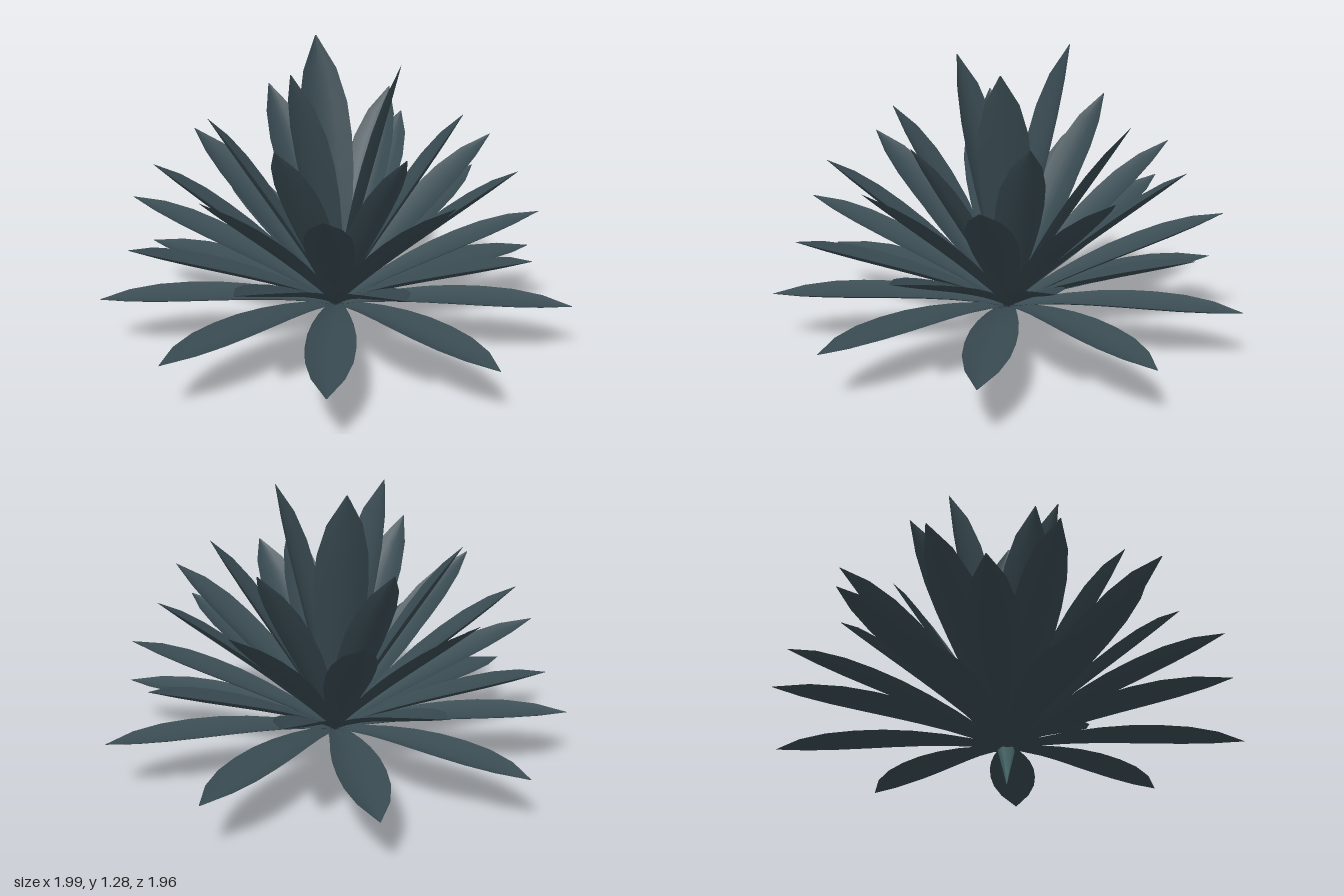
import * as THREE from 'three';

const CENTRE_Z = 0.031;
const BASE_Y = 0.15;
// half widths at even steps from root to tip
const HALF_WIDTHS = [0.025, 0.045, 0.066, 0.085, 0.098, 0.101, 0.093, 0.064, 0.002];

// One channelled leaf lying along +x with its root at the origin; droop arches it
function leafGeometry(droop) {
  const steps = HALF_WIDTHS.length - 1;
  const geometry = new THREE.PlaneGeometry(1, 2, steps, 4).rotateX(-Math.PI / 2);
  const p = geometry.attributes.position;
  for (let i = 0; i < p.count; i++) {
    const t = p.getX(i) + 0.5;
    const v = p.getZ(i);
    const w = HALF_WIDTHS[Math.round(t * steps)];
    const arch = droop * t * (1 - t) ** 2;
    p.setXYZ(i, t * 1.015, arch + 0.33 * w * v * v, v * w);
  }
  geometry.computeVertexNormals();
  return geometry;
}

export function createModel() {
  const model = new THREE.Group();
  model.name = 'agavePlant';

  const leafMaterial = new THREE.MeshStandardMaterial({ color: 0x394b52, side: THREE.DoubleSide });
  const rootMaterial = new THREE.MeshStandardMaterial({ color: 0x557a7c });

  // Rings of leaves, from the drooping outer ring to the straight upright heart;
  // sizes lists the leaves that are longer or shorter than their ring
  const rings = [
    { name: 'outerLeaves', count: 9, offset: 0, lift: 4.7, droop: 0.16, size: 1, sizes: {} },
    { name: 'lowerLeaves', count: 9, offset: 22, lift: 24.3, droop: 0.12, size: 0.995, sizes: { 2: 0.95 } },
    { name: 'middleLeaves', count: 9, offset: 1.5, lift: 41.4, droop: 0.08, size: 0.998, sizes: {} },
    { name: 'upperLeaves', count: 6, offset: 44.5, lift: 58, droop: 0.05, size: 0.987, sizes: { 2: 0.925, 5: 1.01 } },
    { name: 'heartLeaves', count: 3, offset: 0, lift: 76, droop: 0.02, size: 1.098, sizes: { 0: 1.15 } },
  ];
  for (const { name, count, offset, lift, droop, size, sizes } of rings) {
    const ring = new THREE.Group();
    ring.name = name;
    ring.position.set(0, BASE_Y, CENTRE_Z);
    const geometry = leafGeometry(droop);
    for (let i = 0; i < count; i++) {
      const leaf = new THREE.Mesh(geometry, leafMaterial);
      leaf.name = 'leaf';
      const angle = offset + (360 / count) * i;
      leaf.rotation.order = 'YXZ';
      leaf.rotation.y = THREE.MathUtils.degToRad(90 - angle);
      leaf.rotation.z = THREE.MathUtils.degToRad(lift);
      leaf.scale.setScalar(sizes[i] ?? size);
      ring.add(leaf);
    }
    model.add(ring);
  }

  // Pointed root below the rosette
  const root = new THREE.Mesh(new THREE.CylinderGeometry(0.038, 0.001, BASE_Y, 5), rootMaterial);
  root.name = 'root';
  root.position.set(0, BASE_Y / 2, CENTRE_Z);
  model.add(root);

  return model;
}
